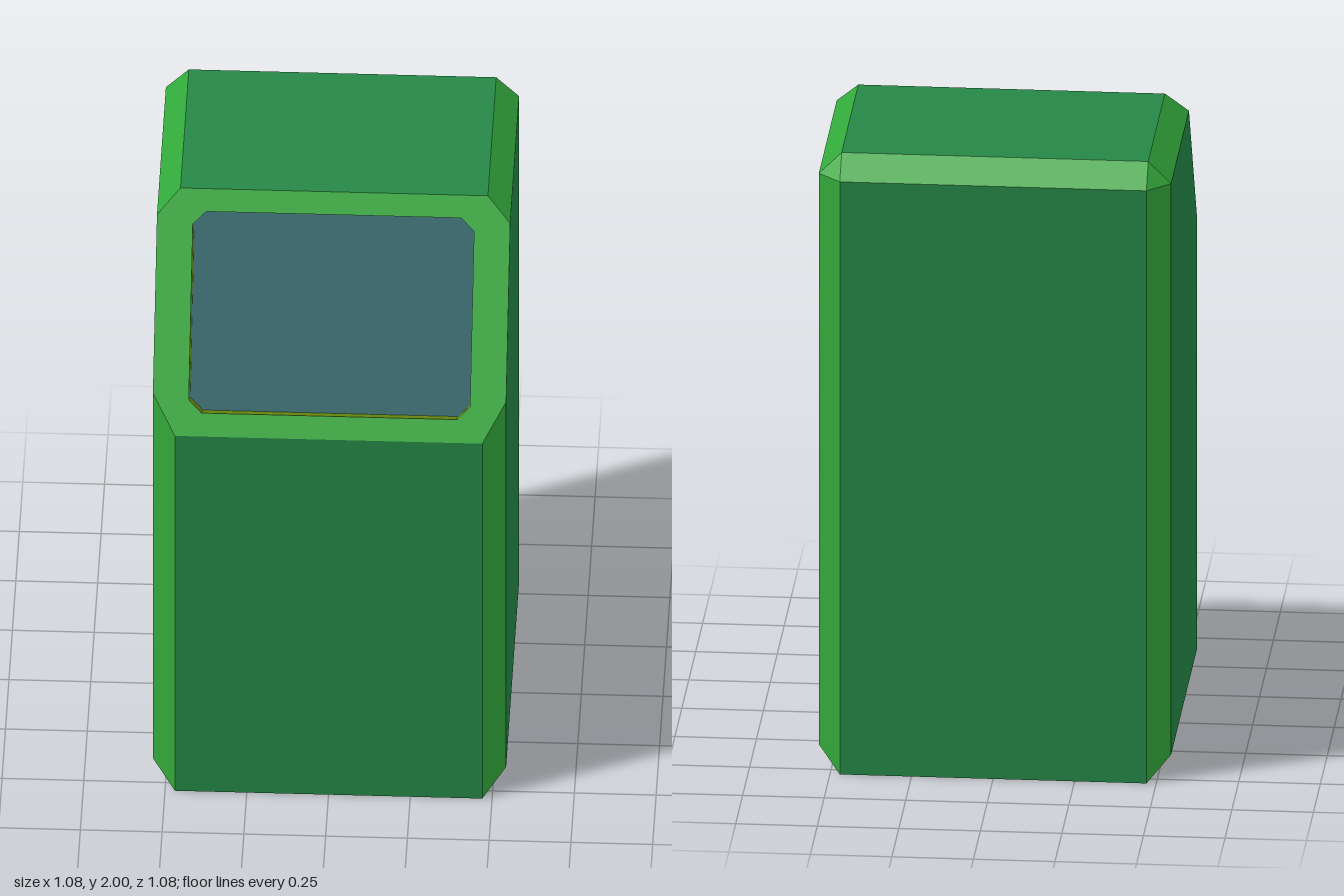
import * as THREE from 'three';

const material = (name, color) => {
  const m = new THREE.MeshStandardMaterial({ color });
  m.name = name;
  return m;
};

// Flat-shaded mesh from convex polygons, each given as a list of corners
function panels(name, mat, polygons) {
  const pos = [];
  for (const p of polygons) {
    for (let i = 1; i < p.length - 1; i++) pos.push(...p[0], ...p[i], ...p[i + 1]);
  }
  const geo = new THREE.BufferGeometry();
  geo.setAttribute('position', new THREE.Float32BufferAttribute(pos, 3));
  geo.computeVertexNormals();
  const mesh = new THREE.Mesh(geo, mat);
  mesh.name = name;
  return mesh;
}

// Turn a polygon of the convex shell so that it faces away from the centre
function outward(p) {
  const [a, b, c] = p.map((q) => new THREE.Vector3(...q));
  const normal = b.clone().sub(a).cross(c.clone().sub(a));
  return normal.dot(a.sub(new THREE.Vector3(0, 1, 0))) < 0 ? [...p].reverse() : p;
}

const mirrored = (polys) => [...polys, ...polys.map((p) => p.map(([x, y, z]) => [-x, y, z]))];

export function createModel() {
  const group = new THREE.Group();
  const green = material('panel green', 0x258746);
  const trim = material('bright green trim', 0x33a93b);
  const olive = material('olive recess', 0x6c9010);
  const glass = material('blue screen', 0x286166);

  const W = 0.54, I = 0.47, H = 2, B = 0.07; // half width, inner half width, height, bevel
  const foot = 1.36, topZ = 0.13;            // slope start height, slope end depth
  const rise = H - foot, run = W - topZ, len = Math.hypot(rise, run);
  const lowY = foot + (B / run) * rise;      // slope meets the sides here
  const highZ = topZ + (B / rise) * run;

  // Large flat panels
  const add = (name, mat, polys) => group.add(panels(name, mat, polys.map(outward)));
  add('frontPanel', green, [[[-I, 0, W], [I, 0, W], [I, foot, W], [-I, foot, W]]]);
  add('backPanel', green, [[[-I, 0, -W], [I, 0, -W], [I, H - B, -W], [-I, H - B, -W]]]);
  add('topPanel', green, [[[-I, H, topZ], [I, H, topZ], [I, H, -I], [-I, H, -I]]]);
  add('basePanel', green, [[[-I, 0, W], [I, 0, W], [I, 0, -W], [-I, 0, -W]]]);
  add('sidePanels', green, mirrored([[
    [W, B, -I], [W, B, I], [W, lowY, I], [W, H - B, highZ], [W, H - B, -I],
  ]]));

  // Bevelled edges
  add('sideBevels', trim, mirrored([
    [[I, 0, W], [W, B, I], [W, lowY, I], [I, foot, W]],
    [[I, 0, -W], [W, B, -I], [W, H - B, -I], [I, H - B, -W]],
    [[I, 0, W], [W, B, I], [W, B, -I], [I, 0, -W]],
    [[I, H, topZ], [W, H - B, highZ], [W, H - B, -I], [I, H, -I]],
    [[I, H, -I], [W, H - B, -I], [I, H - B, -W]],
  ]));
  add('backTopBevel', trim, [[[-I, H, -I], [I, H, -I], [I, H - B, -W], [-I, H - B, -W]]]);

  // Sloping display: local x across, y up the slope, z out of it
  const display = new THREE.Group();
  display.name = 'display';
  display.position.set(0, foot, W);
  display.rotation.x = -Math.atan2(run, rise);
  group.add(display);

  const toPoints = (list) => list.map(([x, y]) => new THREE.Vector2(x, y));
  const v1 = (B / run) * len, v2 = len - (B / rise) * len;
  const frame = new THREE.Shape(toPoints([
    [-I, 0], [I, 0], [W, v1], [W, v2], [I, len], [-I, len], [-W, v2], [-W, v1],
  ]));
  const w = 0.43, c = 0.04, lo = 0.072, hi = 0.69, depth = 0.119;
  const opening = [
    [-w + c, lo], [w - c, lo], [w, lo + c], [w, hi - c],
    [w - c, hi], [-w + c, hi], [-w, hi - c], [-w, lo + c],
  ];
  frame.holes.push(new THREE.Path(toPoints(opening)));
  const rim = new THREE.Mesh(new THREE.ShapeGeometry(frame), trim);
  rim.name = 'displayFrame';

  const screen = new THREE.Mesh(new THREE.ShapeGeometry(new THREE.Shape(toPoints(opening))), glass);
  screen.name = 'screen';
  screen.position.z = -depth;

  // Recess walls face inward
  const walls = panels('recessWalls', olive, opening.map((p, i) => {
    const q = opening[(i + 1) % opening.length];
    return [[...p, 0], [...q, 0], [...q, -depth], [...p, -depth]];
  }));
  display.add(rim, screen, walls);
  return group;
}
